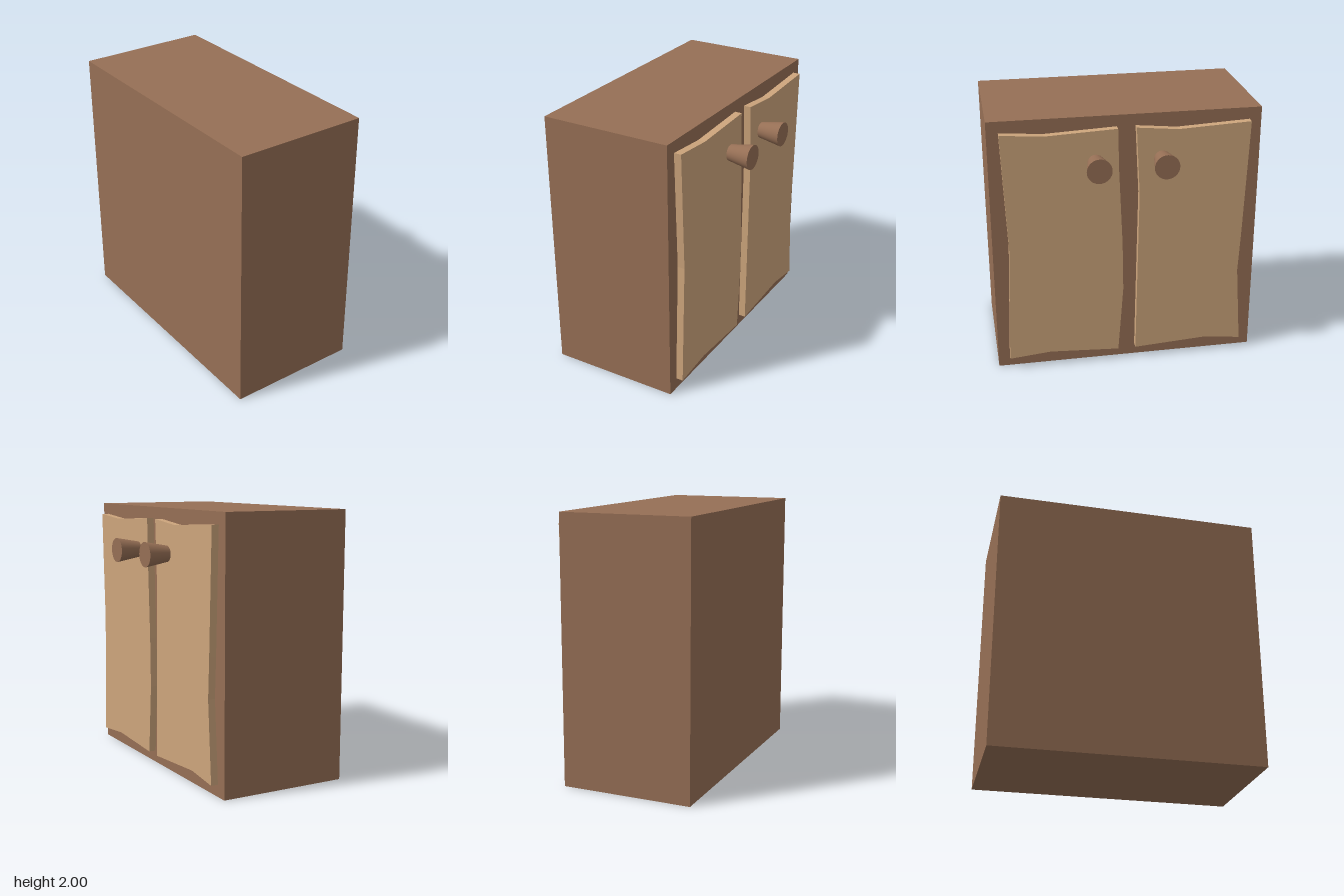
import * as THREE from 'three';

export function createModel() {
  const model = new THREE.Group();
  const darkWood = new THREE.MeshStandardMaterial({ color: 0x966f55 });
  const lightWood = new THREE.MeshStandardMaterial({ color: 0xcda57c });

  const add = (name, geometry, material, x, y, z) => {
    const mesh = new THREE.Mesh(geometry, material);
    mesh.name = name;
    mesh.position.set(x, y, z);
    model.add(mesh);
    return mesh;
  };

  // Cabinet body, with the doors on its +x side
  const faceX = 0.38, doorDepth = 0.055;
  add('cabinetBody', new THREE.BoxGeometry(0.995, 2, 2), darkWood, faceX - 0.4975, 1, 0);

  // Hand-cut door outlines as [z, y]
  const doors = {
    leftDoor: [
      [0.915, 1.915], [0.6, 1.89], [0.07, 1.915], [0.063, 1.6], [0.036, 1.0],
      [0.03, 0.62], [0.068, 0.09], [0.6, 0.12], [0.915, 0.09], [0.88, 1.03],
    ],
    rightDoor: [
      [-0.065, 1.915], [-0.09, 1.4], [-0.082, 0.95], [-0.068, 0.09], [-0.63, 0.125],
      [-0.91, 0.09], [-0.866, 0.7], [-0.88, 1.0], [-0.912, 1.912], [-0.37, 1.885],
    ],
  };
  for (const [name, outline] of Object.entries(doors)) {
    const shape = new THREE.Shape(outline.map(([z, y]) => new THREE.Vector2(-z, y)));
    const geometry = new THREE.ExtrudeGeometry(shape, { depth: doorDepth, bevelEnabled: false });
    geometry.rotateY(Math.PI / 2);
    add(name, geometry, lightWood, faceX, 0, 0);
  }

  // Flared knobs, narrow end at the door
  const knob = new THREE.CylinderGeometry(0.092, 0.06, 0.18, 32);
  knob.rotateZ(-Math.PI / 2);
  for (const [name, z] of [['leftKnob', 0.233], ['rightKnob', -0.253]]) {
    add(name, knob, darkWood, faceX + doorDepth + 0.09, 1.67, z);
  }

  return model;
}
